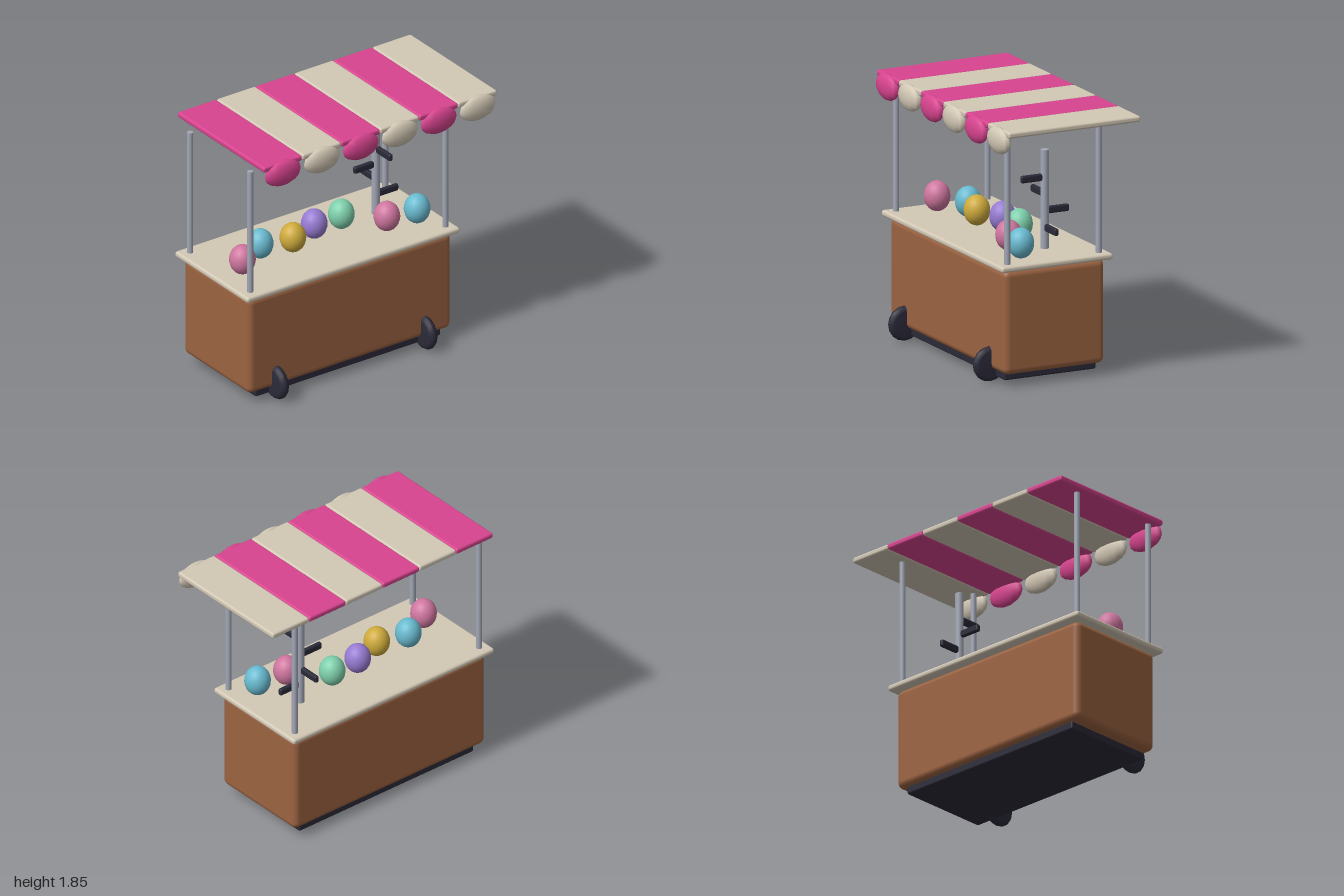
import * as THREE from 'three';
import { RoundedBoxGeometry } from 'three/addons/geometries/RoundedBoxGeometry.js';

const paint = (name, color) => {
  const m = new THREE.MeshStandardMaterial({ color });
  m.name = name;
  return m;
};

export function createModel() {
  const group = new THREE.Group();
  const wood = paint('wood', 0x9c6341);
  const cream = paint('cream', 0xd3c8b5);
  const magenta = paint('magenta', 0xd8448f);
  const metal = paint('metal', 0xa3a8b6);
  const dark = paint('dark', 0x2b2a39);
  const rose = paint('rose', 0xcf769f);
  const sky = paint('sky', 0x69bad0);
  const gold = paint('gold', 0xcfab3c);
  const violet = paint('violet', 0x977bd2);
  const mint = paint('mint', 0x7dcfab);

  const add = (name, geometry, material, x, y, z) => {
    const mesh = new THREE.Mesh(geometry, material);
    mesh.name = name;
    mesh.position.set(x, y, z);
    group.add(mesh);
    return mesh;
  };
  const box = (w, h, d, r) => new RoundedBoxGeometry(w, h, d, 3, r);
  const post = (name, r, top, x, z) =>
    add(name, new THREE.CylinderGeometry(r, r, top - 0.83, 14), metal, x, (top + 0.83) / 2, z);

  // Cart body, plinth and counter
  add('cartBody', box(1.67, 0.72, 0.76, 0.045), wood, -0.125, 0.445, -0.02);
  add('plinth', box(1.52, 0.07, 0.69, 0.012), dark, -0.12, 0.07, -0.02);
  add('counter', box(1.75, 0.043, 0.84, 0.018), cream, -0.125, 0.827, -0.02);

  // Wheels with rounded treads
  const wheelProfile = [[0, -0.034], [0.09, -0.034], [0.108, -0.026], [0.118, -0.012],
    [0.121, 0], [0.118, 0.012], [0.108, 0.026], [0.09, 0.034], [0, 0.034]]
    .map(([r, h]) => new THREE.Vector2(r, h));
  const wheelGeometry = new THREE.LatheGeometry(wheelProfile, 16);
  for (const x of [-0.735, 0.487]) {
    add('wheel', wheelGeometry, dark, x, 0.122, 0.36).rotation.z = Math.PI / 2;
  }

  // Canopy posts
  for (const x of [-0.925, 0.68]) {
    for (const z of [0.325, -0.365]) post('canopyPost', 0.021, 1.757, x, z);
  }

  // Display stand with pegs spiralling down around it
  post('displayPost', 0.029, 1.53, 0.41, -0.098);
  const pegGeometry = box(0.16, 0.05, 0.032, 0.012);
  for (let i = 0; i < 4; i++) {
    const a = Math.PI / 2 + i * Math.PI / 2;
    const peg = add('displayPeg', pegGeometry, dark,
      0.41 + Math.cos(a) * 0.1, 1.34 - i * 0.115, -0.098 + Math.sin(a) * 0.1);
    peg.rotation.y = -a;
  }

  // Row of coloured eggs on the counter
  const eggGeometry = new THREE.SphereGeometry(1, 20, 14).scale(0.09, 0.105, 0.09);
  const eggs = [[rose, 0.075], [sky, -0.04], [gold, 0.015], [violet, -0.06],
    [mint, -0.068], [rose, 0.135], [sky, 0.162]];
  eggs.forEach(([material, z], i) => add('egg', eggGeometry, material, -0.81 + i * 0.229, 0.95, z));

  // Striped canopy, each panel ending in a drooping scallop
  const panelGeometry = box(0.318, 0.042, 0.995, 0.015);
  const scallopGeometry = new THREE.SphereGeometry(1, 12, 8).scale(0.147, 0.092, 0.046);
  for (let i = 0; i < 6; i++) {
    const x = -0.763 + i * 0.3205;
    const material = i % 2 ? cream : magenta;
    add('canopyPanel', panelGeometry, material, x, 1.823, -0.02);
    add('canopyScallop', scallopGeometry, material, x, 1.76, 0.473);
  }

  return group;
}
